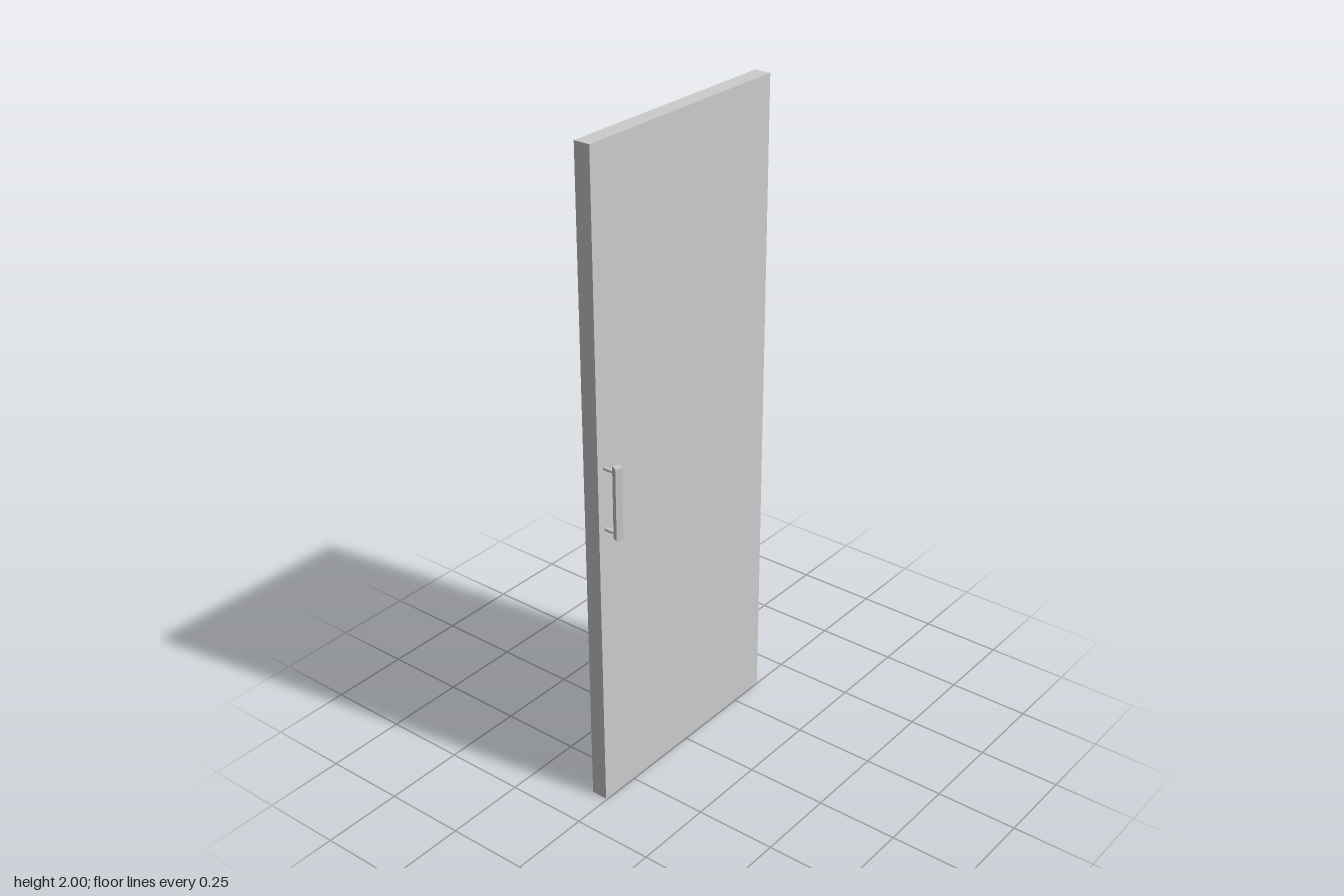
import * as THREE from 'three';

const material = new THREE.MeshStandardMaterial({ color: 0xcccccc });

function add(parent, name, geometry, x = 0, y = 0, z = 0) {
  const mesh = new THREE.Mesh(geometry, material);
  mesh.name = name;
  mesh.position.set(x, y, z);
  parent.add(mesh);
  return mesh;
}

// Rectangle given by its edges, as a closed list of points
const rect = (x0, x1, y0, y1) => [[x0, y0], [x1, y0], [x1, y1], [x0, y1]].map(p => new THREE.Vector2(...p));

export function createModel() {
  const model = new THREE.Group();
  model.name = 'door';
  const halfWidth = 0.373, recess = 0.004;

  // Door leaf
  const leafWidth = 2 * halfWidth - recess;
  add(model, 'doorLeaf', new THREE.BoxGeometry(leafWidth, 2, 0.05), -recess / 2, 1, -0.03);

  // Hinge-side edge with two shallow hinge pockets
  const edge = new THREE.Shape(rect(0.005, 0.055, 0, 2));
  for (const [y0, y1] of [[0.138, 0.204], [1.845, 1.911]]) {
    edge.holes.push(new THREE.Path(rect(0.025, 0.047, y0, y1)));
  }
  const edgeGeometry = new THREE.ExtrudeGeometry(edge, { depth: recess, bevelEnabled: false });
  edgeGeometry.rotateY(Math.PI / 2);
  add(model, 'hingeEdge', edgeGeometry, halfWidth - recess);

  // Pull handle: a square bar turned about its axis, on two posts
  const handle = new THREE.Group();
  handle.name = 'handle';
  handle.position.set(-0.345, 1, 0);
  model.add(handle);
  const bar = add(handle, 'handleBar', new THREE.BoxGeometry(0.02, 0.222, 0.02), 0, 0, 0.039);
  bar.rotation.y = -0.44;

  const profile = [[0.006, -0.006], [0.006, 0.016], [0.004, 0.026], [0.004, 0.036]];
  const postGeometry = new THREE.LatheGeometry(profile.map(p => new THREE.Vector2(...p)), 16);
  postGeometry.rotateX(Math.PI / 2);
  for (const side of [-1, 1]) add(handle, 'handlePost', postGeometry, -0.001, side * 0.094, 0);

  return model;
}
